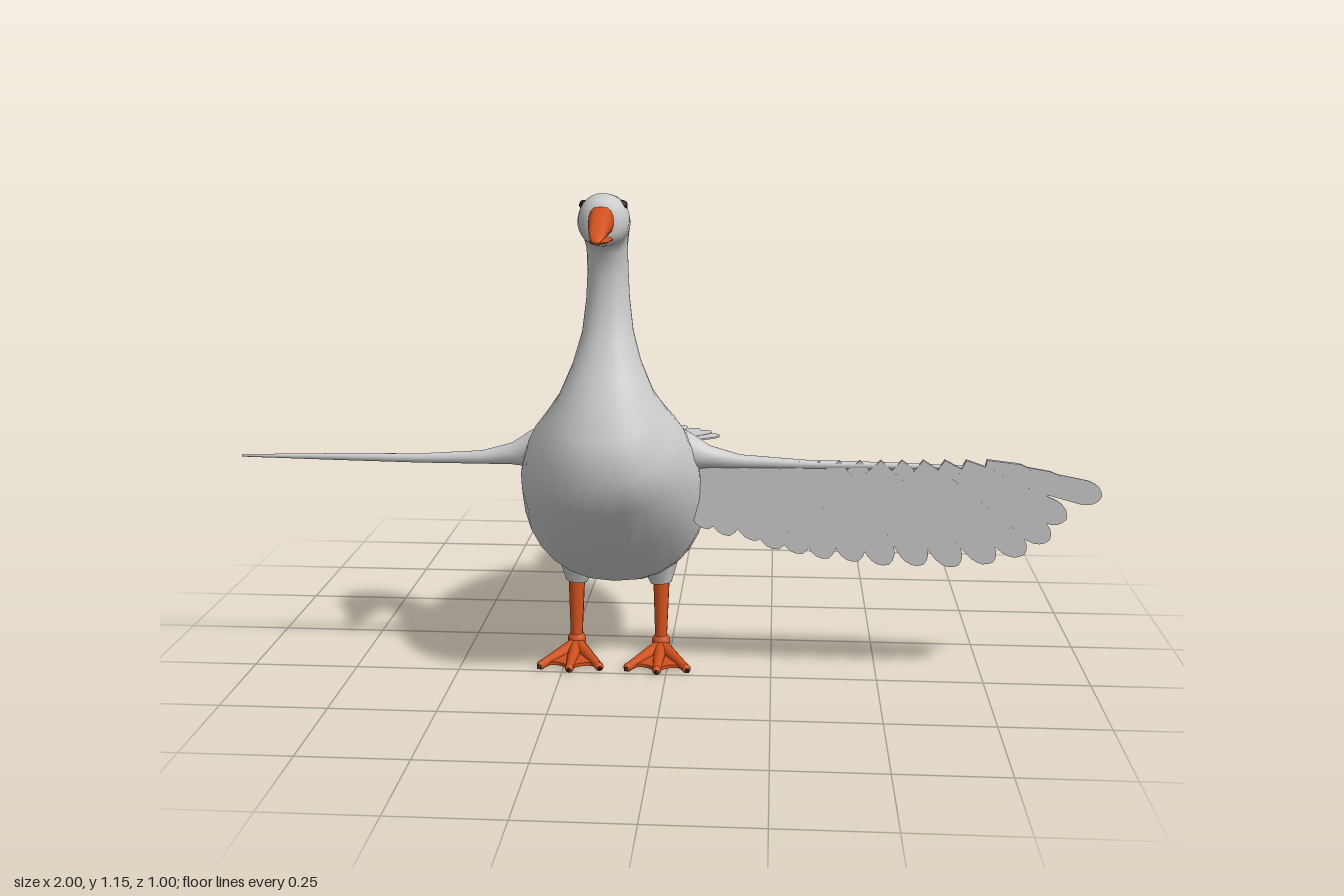
import * as THREE from 'three';

const V = (x, y, z) => new THREE.Vector3(x, y, z);
const mat = (color) => new THREE.MeshStandardMaterial({ color, side: THREE.DoubleSide });
const grey = mat(0xcccccc), orange = mat(0xd0501c), dark = mat(0x1c1c1c);

// Closed skin over a list of rings, with both ends capped
function loft(rings) {
  const n = rings[0].length, pts = rings.flat(), idx = [];
  for (let i = 0; i < rings.length - 1; i++) {
    for (let j = 0; j < n; j++) {
      const a = i * n + j, b = i * n + (j + 1) % n;
      idx.push(a, b, a + n, b, b + n, a + n);
    }
  }
  [0, rings.length - 1].forEach((r) => {
    const c = pts.length;
    pts.push(rings[r].reduce((s, p) => s.add(p), V(0, 0, 0)).divideScalar(n));
    for (let j = 0; j < n; j++) {
      const a = r * n + j, b = r * n + (j + 1) % n;
      idx.push(...(r ? [a, b, c] : [b, a, c]));
    }
  });
  // Turn the faces outward if the enclosed volume is negative
  let volume = 0;
  for (let k = 0; k < idx.length; k += 3) {
    volume += pts[idx[k]].dot(V(0, 0, 0).crossVectors(pts[idx[k + 1]], pts[idx[k + 2]]));
  }
  if (volume < 0) idx.reverse();
  const g = new THREE.BufferGeometry().setFromPoints(pts);
  g.setIndex(idx);
  g.computeVertexNormals();
  return g;
}

// Ring from a back point and a front point in the side plane, plus a half width
function section([bz, by, fz, fy, w], n = 28, power = 0.88) {
  return Array.from({ length: n }, (_, j) => {
    const a = j / n * Math.PI * 2, c = Math.cos(a), s = Math.sin(a);
    const x = w * Math.sign(s) * Math.abs(s) ** power;
    return V(x, (by + fy) / 2 + (by - fy) / 2 * c, (bz + fz) / 2 + (bz - fz) / 2 * c);
  });
}

function add(parent, name, geometry, material) {
  const m = new THREE.Mesh(geometry, material);
  m.name = name;
  parent.add(m);
  return m;
}

// Tapered rod between two points
function rod(parent, name, a, b, ra, rb, material) {
  const m = add(parent, name, new THREE.CylinderGeometry(rb, ra, a.distanceTo(b), 10), material);
  m.position.copy(a).lerp(b, 0.5);
  m.quaternion.setFromUnitVectors(V(0, 1, 0), b.clone().sub(a).normalize());
  return m;
}

// Flat feather with a rounded tip, from root to a fraction of the way to the tip
function feather(root, tip, width, thickness, fraction = 1) {
  const dx = tip[0] - root[0], dy = tip[1] - root[1];
  const L = Math.hypot(dx, dy) * fraction, w = width / 2;
  const s = new THREE.Shape();
  s.moveTo(-w * 0.7, 0);
  s.lineTo(-w, L - w * 1.4);
  s.quadraticCurveTo(-w * 0.9, L - w * 0.2, 0, L);
  s.quadraticCurveTo(w * 0.9, L - w * 0.2, w, L - w * 1.4);
  s.lineTo(w * 0.7, 0);
  const g = new THREE.ExtrudeGeometry(s, { depth: thickness, bevelEnabled: false, curveSegments: 4 });
  return g.translate(0, 0, -thickness / 2)
    .rotateZ(Math.atan2(dy, dx) - Math.PI / 2)
    .translate(root[0], root[1], 0);
}

export function createModel() {
  const goose = new THREE.Group();
  goose.name = 'goose';
  const bird = new THREE.Group();
  bird.name = 'bird';
  bird.position.x = -0.127;
  goose.add(bird);

  // Body, neck and head: back z, back y, front z, front y, half width
  const skin = [
    [-0.322, 0.46, -0.318, 0.44, 0.035], [-0.31, 0.473, -0.295, 0.42, 0.07],
    [-0.28, 0.49, -0.26, 0.385, 0.1], [-0.2, 0.53, -0.22, 0.345, 0.143],
    [-0.1, 0.575, -0.155, 0.265, 0.18], [0, 0.612, -0.09, 0.22, 0.2],
    [0.08, 0.634, 0, 0.198, 0.212], [0.14, 0.646, 0.1, 0.187, 0.217],
    [0.19, 0.652, 0.2, 0.22, 0.217], [0.213, 0.665, 0.34, 0.34, 0.207],
    [0.225, 0.685, 0.43, 0.45, 0.185], [0.235, 0.712, 0.47, 0.53, 0.15],
    [0.24, 0.745, 0.455, 0.62, 0.113], [0.24, 0.8, 0.4, 0.73, 0.079],
    [0.235, 0.86, 0.35, 0.82, 0.058], [0.229, 0.93, 0.33, 0.9, 0.049],
    [0.227, 0.985, 0.324, 0.97, 0.046], [0.238, 1.045, 0.335, 1.02, 0.046],
    [0.257, 1.09, 0.352, 1.037, 0.051], [0.285, 1.128, 0.37, 1.04, 0.056],
    [0.325, 1.15, 0.385, 1.043, 0.057], [0.36, 1.154, 0.395, 1.047, 0.052],
    [0.39, 1.142, 0.402, 1.052, 0.04], [0.404, 1.128, 0.406, 1.058, 0.026],
  ];
  add(bird, 'body', loft(skin.map((s) => section(s))), grey);

  // Beak
  const upper = [[0.385, 1.133, 0.385, 1.063, 0.029], [0.41, 1.127, 0.41, 1.065, 0.027],
    [0.45, 1.1, 0.45, 1.066, 0.022], [0.48, 1.08, 0.48, 1.063, 0.017], [0.5, 1.067, 0.5, 1.058, 0.008]];
  const lower = [[0.385, 1.066, 0.385, 1.052, 0.026], [0.44, 1.064, 0.44, 1.053, 0.021],
    [0.492, 1.062, 0.492, 1.057, 0.01]];
  add(bird, 'upperBeak', loft(upper.map((s) => section(s, 16, 0.7))), orange);
  add(bird, 'lowerBeak', loft(lower.map((s) => section(s, 16, 0.7))), orange);

  // Wing arm rings: distance from the middle, height, half height, half depth
  const arm = [[0.13, 0.56, 0.07, 0.062], [0.19, 0.555, 0.042, 0.037], [0.23, 0.544, 0.026, 0.026],
    [0.3, 0.534, 0.016, 0.016], [0.45, 0.529, 0.011, 0.011], [0.65, 0.529, 0.008, 0.008],
    [0.873, 0.528, 0.003, 0.003]];

  // Toes: sideways and forward reach
  const toes = [[-0.07, 0.235], [0, 0.25], [0.07, 0.235]];

  for (const side of [-1, 1]) {
    const label = side > 0 ? 'left' : 'right';
    const rings = arm.map(([x, y, ry, rz]) => Array.from({ length: 14 }, (_, j) => {
      const a = j / 14 * Math.PI * 2;
      return V(side * x, y + ry * Math.cos(a), 0.252 + rz * Math.sin(a));
    }));
    add(bird, label + 'WingArm', loft(rings), grey);

    const eye = add(bird, label + 'Eye', new THREE.SphereGeometry(0.011, 14, 10), dark);
    eye.position.set(side * 0.042, 1.128, 0.355);

    // Leg with thigh, shank and webbed foot
    const leg = new THREE.Group();
    leg.name = label + 'Leg';
    leg.position.x = side * 0.105;
    bird.add(leg);
    rod(leg, 'thigh', V(0, 0.183, 0.09), V(-side * 0.01, 0.29, 0.085), 0.027, 0.07, grey);
    rod(leg, 'shank', V(0, 0.045, 0.107), V(0, 0.2, 0.088), 0.015, 0.021, orange);
    const ankle = add(leg, 'ankle', new THREE.SphereGeometry(0.023, 12, 8), orange);
    ankle.position.set(0, 0.034, 0.105);
    rod(leg, 'hindToe', V(0, 0.04, 0.095), V(0, 0.035, 0.06), 0.01, 0.004, orange);

    const web = new THREE.Shape();
    web.moveTo(0, -0.1);
    web.lineTo(-0.07, -0.235);
    web.quadraticCurveTo(-0.035, -0.2, 0, -0.25);
    web.quadraticCurveTo(0.035, -0.2, 0.07, -0.235);
    const webGeo = new THREE.ExtrudeGeometry(web, { depth: 0.008, bevelEnabled: false });
    add(leg, 'web', webGeo.rotateX(-Math.PI / 2).translate(0, 0.01, 0), orange);
    for (const [x, z] of toes) {
      const tip = V(x, 0.015, z);
      rod(leg, 'toe', V(0, 0.022, 0.105), tip, 0.018, 0.01, orange);
      add(leg, 'toeTip', new THREE.SphereGeometry(0.011, 10, 8), orange).position.copy(tip);
      rod(leg, 'claw', tip, V(x * 1.1, 0.013, z + 0.02), 0.008, 0.001, dark);
    }
  }

  // Feathers of the left wing: flight feathers under two rows of coverts
  const wing = new THREE.Group();
  wing.name = 'leftWingFeathers';
  wing.position.set(0, 0, 0.254);
  goose.add(wing);
  const tips = [[0.1, 0.37], [0.15, 0.355], [0.215, 0.345], [0.265, 0.325], [0.32, 0.315],
    [0.38, 0.305], [0.45, 0.3], [0.52, 0.293], [0.6, 0.295], [0.68, 0.295], [0.76, 0.305],
    [0.83, 0.325], [0.885, 0.36], [0.92, 0.41], [0.997, 0.465]];
  const rows = [['flightFeather', 1, 0.004], ['middleCovert', 0.68, 0.008], ['upperCovert', 0.42, 0.012]];
  tips.forEach((tip, i) => {
    const t = i / (tips.length - 1);
    const root = [0.075 + 0.655 * t ** 1.1, 0.528];
    rows.forEach(([name, f, thick]) => {
      const width = 0.075 - 0.017 * t;
      add(wing, name, feather(root, tip, width, thick + (i % 2) * 0.001, f), grey);
    });
  });

  // Tail fan, spread to the left
  const tail = new THREE.Group();
  tail.name = 'tailFeathers';
  tail.position.y = 0.448;
  tail.rotation.x = -Math.PI / 2;
  goose.add(tail);
  const tailTips = [[-0.122, 0.5], [-0.083, 0.497], [-0.042, 0.487], [0, 0.468],
    [0.04, 0.441], [0.075, 0.41], [0.1, 0.372]];
  tailTips.forEach((tip, i) => {
    const root = [-0.12 + 0.012 * i, 0.27];
    add(tail, 'tailFeather', feather(root, tip, 0.05, 0.004 + (i % 2) * 0.002), grey);
    add(tail, 'tailCovert', feather(root, tip, 0.046, 0.011 + (i % 2) * 0.002, 0.57), grey);
  });

  return goose;
}
